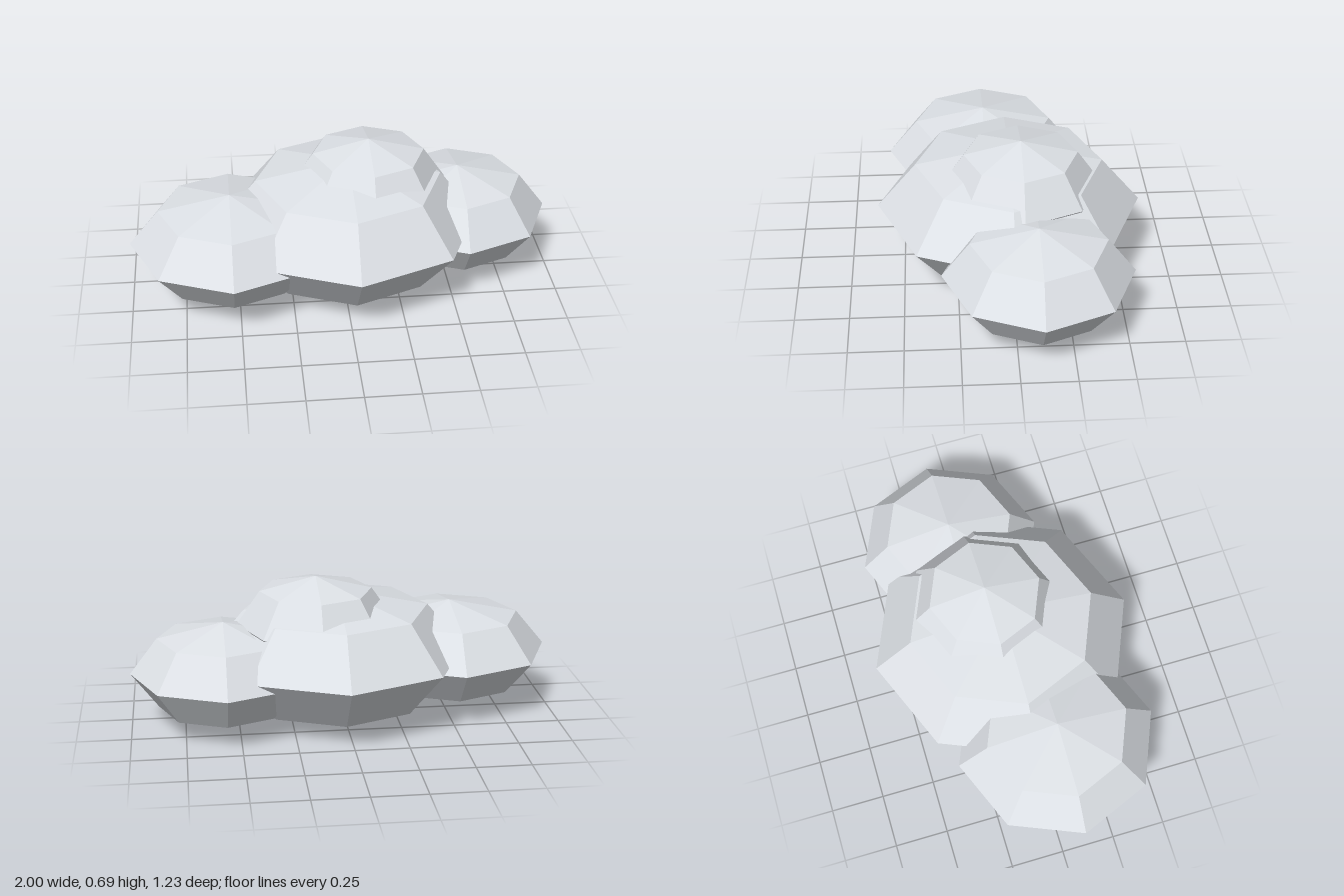
import * as THREE from 'three';

// A low-poly cloud made of overlapping flattened puffs.
export function createModel() {
  const group = new THREE.Group();
  group.name = 'cloud';

  const cloudGrey = new THREE.MeshStandardMaterial({ color: 0xdde1e6, flatShading: true });
  cloudGrey.name = 'cloudGrey';

  // Each puff: name, centre, horizontal radius, half height
  const puffs = [
    ['mainPuff', [0.03, 0.31, 0], 0.617, 0.307],
    ['rightPuff', [-0.53, 0.28, 0.1], 0.47, 0.235],
    ['leftPuff', [0.565, 0.27, -0.105], 0.433, 0.235],
    ['topPuff', [0.13, 0.475, -0.05], 0.37, 0.221],
  ];

  for (const [name, centre, radius, halfHeight] of puffs) {
    const geometry = new THREE.SphereGeometry(1, 8, 4);
    geometry.scale(radius, halfHeight, radius);
    const puff = new THREE.Mesh(geometry, cloudGrey);
    puff.name = name;
    puff.position.set(...centre);
    group.add(puff);
  }
  return group;
}
